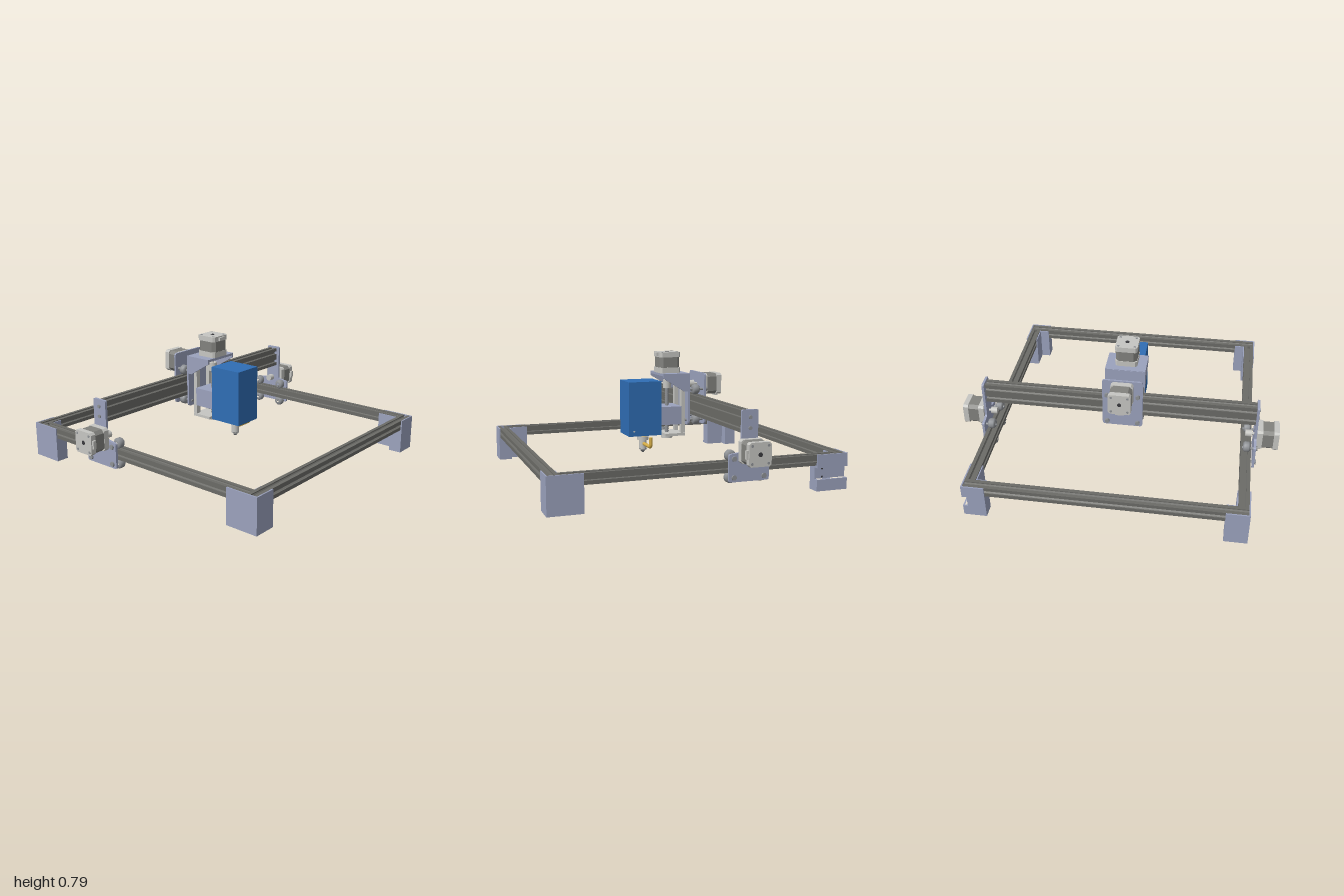
import * as THREE from 'three';

const mat = (name, color) => Object.assign(new THREE.MeshStandardMaterial({ color }), { name });

export function createModel() {
  const M = {
    rail: mat('dark aluminium', 0x6b6b67),
    bracket: mat('lavender plastic', 0x9ba2bd),
    steel: mat('light steel', 0xc6c6c2),
    core: mat('motor core grey', 0x82827e),
    screw: mat('screw grey', 0x8f9296),
    blue: mat('blue housing', 0x2f6db4),
    brass: mat('brass', 0xd6ae48),
    black: mat('dark hole', 0x3a3a3e),
  };
  const root = new THREE.Group();

  const add = (parent, name, geo, m, x = 0, y = 0, z = 0) => {
    const mesh = new THREE.Mesh(geo, m);
    mesh.name = name;
    mesh.position.set(x, y, z);
    parent.add(mesh);
    return mesh;
  };
  // box given by its limits
  const box = (parent, name, m, x0, x1, y0, y1, z0, z1) =>
    add(parent, name, new THREE.BoxGeometry(x1 - x0, y1 - y0, z1 - z0), m,
      (x0 + x1) / 2, (y0 + y1) / 2, (z0 + z1) / 2);
  const cyl = (parent, name, m, r, len, axis, x, y, z, r2 = r, sides = 20) => {
    const g = new THREE.CylinderGeometry(r, r2, len, sides);
    if (axis === 'x') g.rotateZ(-Math.PI / 2);
    if (axis === 'z') g.rotateX(Math.PI / 2);
    return add(parent, name, g, m, x, y, z);
  };
  const poly = pts => new THREE.Shape(pts.map(p => new THREE.Vector2(p[0], p[1])));
  // polygon with rounded corners
  const rounded = (pts, r) => {
    const s = new THREE.Shape();
    const v = pts.map(p => new THREE.Vector2(p[0], p[1]));
    v.forEach((p, i) => {
      const a = v[(i + v.length - 1) % v.length], b = v[(i + 1) % v.length];
      const pa = p.clone().add(a.clone().sub(p).setLength(r));
      const pb = p.clone().add(b.clone().sub(p).setLength(r));
      if (i) s.lineTo(pa.x, pa.y); else s.moveTo(pa.x, pa.y);
      s.quadraticCurveTo(p.x, p.y, pb.x, pb.y);
    });
    s.closePath();
    return s;
  };
  const rect = (x0, x1, y0, y1) => [[x0, y0], [x1, y0], [x1, y1], [x0, y1]];
  const extrude = (shape, depth) =>
    new THREE.ExtrudeGeometry(shape, { depth, bevelEnabled: false, curveSegments: 5 })
      .translate(0, 0, -depth / 2);
  // plate drawn in (z, y), thickness along x
  const sidePlate = (shape, t) => extrude(shape, t).rotateY(-Math.PI / 2);

  // slotted extrusion, nx by ny cells, running along z
  const U = 0.064;
  const railGeo = (len, nx, ny) => {
    const pts = [];
    const w = nx * U, h = ny * U;
    const sides = [[-w / 2, -h / 2, 1, 0, nx], [w / 2, -h / 2, 0, 1, ny],
      [w / 2, h / 2, -1, 0, nx], [-w / 2, h / 2, 0, -1, ny]];
    for (const [ox, oy, dx, dy, n] of sides) {
      const put = (a, d) => pts.push([ox + (dx * a - dy * d) * U, oy + (dy * a + dx * d) * U]);
      put(0, 0);
      for (let c = 0.5; c < n; c++) {
        put(c - 0.16, 0); put(c - 0.16, 0.1); put(c - 0.3, 0.1); put(c - 0.14, 0.32);
        put(c + 0.14, 0.32); put(c + 0.3, 0.1); put(c + 0.16, 0.1); put(c + 0.16, 0);
      }
    }
    return extrude(poly(pts), len);
  };

  // base frame
  for (const s of [-1, 1]) {
    add(root, 'crossRail', railGeo(1.68, 1, 1).rotateY(Math.PI / 2), M.rail, 0, 0.187, s * 0.869);
    add(root, 'sideRail', railGeo(1.674, 1, 1), M.rail, s * 0.805, 0.187, 0);
  }

  // corner feet: hollow L below the rails, thin walls beside them
  const X = 0.845, Z = 0.91, A = 0.705, T = 0.01;
  const ell = (x, z, t) => [[A + t, z], [x, z], [x, A + t], [0.765 + t, A + t], [0.765 + t, 0.828 + t], [A + t, 0.828 + t]];
  for (const sx of [-1, 1]) for (const sz of [-1, 1]) {
    const foot = new THREE.Group();
    foot.name = 'cornerFoot';
    root.add(foot);
    const layer = (name, outer, inner, y0, y1) => {
      const flip = p => p.map(([x, z]) => [x * sx, -z * sz]);
      const s = poly(flip(outer));
      if (inner) s.holes.push(poly(flip(inner)));
      add(foot, name, extrude(s, y1 - y0).rotateX(-Math.PI / 2), M.bracket, 0, (y0 + y1) / 2, 0);
    };
    const out = ell(X, Z, 0), inn = ell(X - T, Z - T, T);
    if (sx > 0 && sz < 0) {
      layer('footWall', out, inn, 0, 0.07);
      layer('recessedWall', ell(X - 0.03, Z, 0), null, 0.07, 0.14);
      layer('footWall', out, null, 0.14, 0.155);
      for (const y of [0.08, 0.13]) cyl(foot, 'footHole', M.black, 0.006, 0.004, 'x', X - 0.029, y, -0.755);
    } else {
      layer('footWall', out, inn, 0, 0.14);
      layer('footShelf', out, null, 0.14, 0.155);
    }
    layer('outerLip', [[A, Z], [X, Z], [X, A], [X - 0.008, A], [X - 0.008, Z - 0.008], [A, Z - 0.008]], null, 0.155, 0.22);
    layer('innerLip', [[A, 0.828], [0.765, 0.828], [0.765, A], [0.772, A], [0.772, 0.836], [A, 0.836]], null, 0.155, 0.215);
  }

  // stepper motor, shaft along +y, mounting face at y = 0
  const motor = (x, y, z) => {
    const g = new THREE.Group();
    g.name = 'motor';
    g.position.set(x, y, z);
    root.add(g);
    const block = (name, m, h, c, y0, y1) => {
      const s = poly([[-h + c, -h], [h - c, -h], [h, -h + c], [h, h - c], [h - c, h], [-h + c, h], [-h, h - c], [-h, -h + c]]);
      add(g, name, extrude(s, y1 - y0).rotateX(-Math.PI / 2), m, 0, (y0 + y1) / 2, 0);
    };
    block('motorFrontCap', M.steel, 0.069, 0.012, -0.035, 0);
    block('motorCore', M.core, 0.067, 0.02, -0.102, -0.035);
    block('motorRearCap', M.steel, 0.069, 0.012, -0.135, -0.102);
    box(g, 'motorSocket', M.steel, -0.025, 0.025, -0.128, -0.108, 0.069, 0.082);
    cyl(g, 'motorBoss', M.steel, 0.035, 0.01, 'y', 0, 0.005, 0);
    cyl(g, 'motorShaft', M.steel, 0.009, 0.07, 'y', 0, 0.035, 0);
    cyl(g, 'motorRearHole', M.black, 0.013, 0.003, 'y', 0, -0.135, 0);
    for (const a of [-1, 1]) for (const b of [-1, 1])
      cyl(g, 'motorScrew', M.screw, 0.008, 0.004, 'y', a * 0.05, -0.135, b * 0.05, 0.008, 10);
    return g;
  };

  // grooved roller with its bolt
  const roller = (axis, x, y, z) => {
    const p = [[0.009, -0.022], [0.024, -0.022], [0.032, -0.012], [0.032, 0.012], [0.024, 0.022], [0.009, 0.022]];
    const g = new THREE.LatheGeometry(p.map(q => new THREE.Vector2(q[0], q[1])), 20);
    if (axis === 'x') g.rotateZ(-Math.PI / 2); else g.rotateX(Math.PI / 2);
    add(root, 'roller', g, M.screw, x, y, z);
  };

  // gantry beam and end plates
  add(root, 'gantryBeam', railGeo(1.7, 1, 2).rotateY(Math.PI / 2), M.rail, 0, 0.44, -0.252);
  const endShape = [[-0.375, 0.105], [-0.125, 0.105], [-0.125, 0.265], [-0.2, 0.275],
    [-0.2, 0.515], [-0.302, 0.515], [-0.302, 0.275], [-0.375, 0.265]];
  for (const s of [-1, 1]) {
    add(root, 'gantryEndPlate', sidePlate(rounded(endShape, 0.012), 0.015), M.bracket, s * 0.8575, 0, 0);
    motor(s * 0.865, 0.283, -0.25).rotation.z = s * Math.PI / 2;
    cyl(root, 'drivePulley', M.steel, 0.022, 0.04, 'x', s * 0.815, 0.283, -0.25);
    for (const z of [-0.155, -0.342]) for (const y of [0.24, 0.132]) {
      roller('x', s * 0.808, y + (y > 0.2 ? 0.01 : -0.01), z);
      cyl(root, 'rollerBolt', M.screw, 0.008, 0.09, 'x', s * 0.825, y, z);
      cyl(root, 'boltHead', M.screw, 0.016, 0.01, 'x', s * 0.87, y, z, 0.016, 6);
    }
    for (const y of [0.41, 0.472])
      cyl(root, 'beamScrew', M.screw, 0.011, 0.007, 'x', s * 0.868, y, -0.252, 0.011, 12);
  }

  // carriage running on the beam
  const CX = -0.03;
  const facePlate = rounded(rect(-0.155, 0.095, 0.31, 0.645), 0.02);
  add(root, 'carriageBackPlate', extrude(facePlate, 0.012), M.bracket, 0, 0, -0.308);
  add(root, 'carriageFrontPlate', extrude(facePlate, 0.014), M.bracket, 0, 0, -0.195);
  for (const x of [CX - 0.095, CX + 0.095]) for (const y of [0.54, 0.342]) {
    roller('z', x, y, -0.252);
    cyl(root, 'carriageBolt', M.screw, 0.009, 0.15, 'z', x, y, -0.255);
    cyl(root, 'boltHead', M.screw, 0.015, 0.014, 'z', x, y, -0.325, 0.015, 6);
  }
  motor(CX, 0.567, -0.314).rotation.x = Math.PI / 2;
  cyl(root, 'drivePulley', M.steel, 0.024, 0.045, 'z', CX, 0.567, -0.255);

  // motor bracket with sloped cheeks
  box(root, 'motorShelf', M.bracket, -0.155, 0.095, 0.633, 0.648, -0.2, -0.02);
  const cheek = poly([[-0.2, 0.53], [-0.165, 0.53], [-0.02, 0.62], [-0.02, 0.648], [-0.2, 0.648]]);
  for (const x of [-0.149, 0.089]) add(root, 'bracketCheek', sidePlate(cheek, 0.012), M.bracket, x, 0, 0);
  motor(CX, 0.648, -0.089).rotation.x = Math.PI;
  root.children.at(-1).rotation.x = 0;
  root.children.at(-1).position.y = 0.783;
  root.children.at(-1).scale.y = 1;
  // the shaft points down, so the group is turned over on the shelf
  root.children.at(-1).rotation.z = Math.PI;
  root.children.at(-1).position.y = 0.648;

  // vertical screw drive
  const threads = [];
  for (let i = 0; i <= 44; i++) threads.push(new THREE.Vector2(i % 2 ? 0.014 : 0.01, 0.24 + i * 0.007));
  add(root, 'leadScrew', new THREE.LatheGeometry(threads, 14), M.screw, CX, 0, -0.089);
  cyl(root, 'coupler', M.steel, 0.026, 0.055, 'y', CX, 0.572, -0.089);
  for (const x of [CX - 0.06, CX + 0.06]) box(root, 'linearRail', M.steel, x - 0.016, x + 0.016, 0.24, 0.58, -0.188, -0.162);
  box(root, 'bearingFoot', M.steel, -0.11, 0.05, 0.235, 0.252, -0.188, -0.05);
  cyl(root, 'bottomBearing', M.steel, 0.037, 0.035, 'y', CX, 0.232, -0.089);
  box(root, 'toolSlide', M.bracket, -0.115, 0.055, 0.312, 0.43, -0.16, -0.014);

  // tool housing
  box(root, 'toolHousing', M.blue, -0.125, 0.065, 0.25, 0.6, -0.016, 0.203);
  cyl(root, 'housingHole', M.steel, 0.006, 0.003, 'x', 0.065, 0.282, 0.168, 0.006, 12);

  // nozzle and air pipe
  const NX = -0.01, NZ = 0.085;
  cyl(root, 'nozzleCollar', M.brass, 0.026, 0.03, 'y', NX, 0.238, NZ);
  cyl(root, 'nozzleNut', M.steel, 0.038, 0.022, 'y', NX, 0.226, NZ);
  cyl(root, 'nozzleBody', M.steel, 0.024, 0.07, 'y', NX, 0.185, NZ);
  cyl(root, 'nozzleTip', M.screw, 0.026, 0.024, 'y', NX, 0.144, NZ, 0.006);
  const pipe = new THREE.CurvePath();
  const V = (x, y) => new THREE.Vector3(x, y, NZ);
  pipe.add(new THREE.LineCurve3(V(NX, 0.19), V(0.125, 0.19)));
  pipe.add(new THREE.QuadraticBezierCurve3(V(0.125, 0.19), V(0.145, 0.19), V(0.145, 0.21)));
  pipe.add(new THREE.LineCurve3(V(0.145, 0.21), V(0.145, 0.252)));
  add(root, 'airPipe', new THREE.TubeGeometry(pipe, 40, 0.011, 12), M.brass);
  cyl(root, 'pipeEnd', M.brass, 0.011, 0.003, 'y', 0.145, 0.2515, NZ);

  return root;
}
